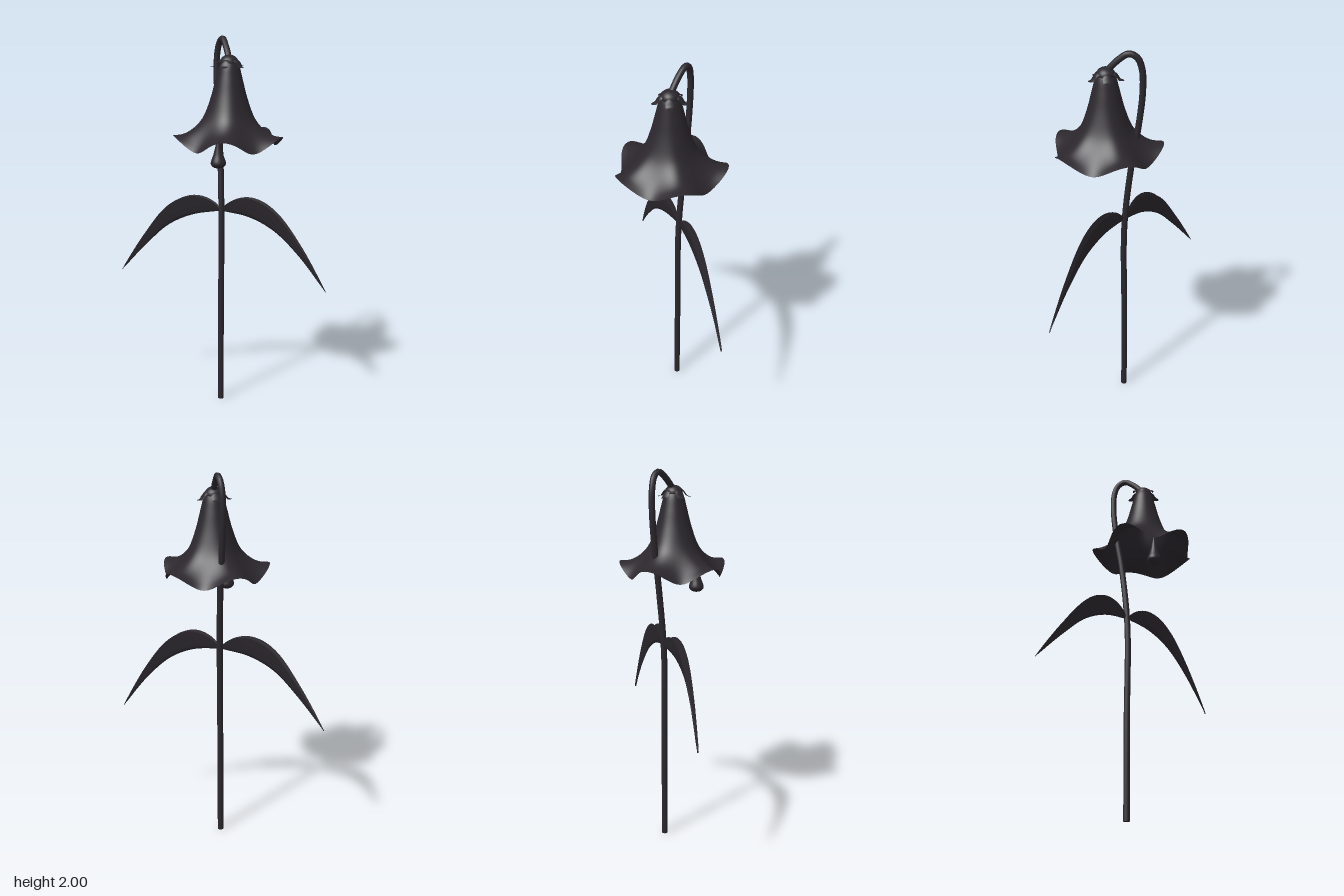
import * as THREE from 'three';

const material = new THREE.MeshStandardMaterial({ color: 0x2b272d, side: THREE.DoubleSide });
const V = (x, y, z) => new THREE.Vector3(x, y, z);
const FLOWER = V(0.07, 0, 0); // axis of the bell

function addMesh(parent, name, geometry) {
  const mesh = new THREE.Mesh(geometry, material);
  mesh.name = name;
  parent.add(mesh);
  return mesh;
}

// Smooth surface from a rule point(u, v), both 0..1
function surface(point, nu, nv) {
  const geometry = new THREE.PlaneGeometry(1, 1, nu, nv);
  const pos = geometry.attributes.position;
  for (let i = 0; i < pos.count; i++) {
    const p = point(pos.getX(i) + 0.5, pos.getY(i) + 0.5);
    pos.setXYZ(i, p.x, p.y, p.z);
  }
  geometry.computeVertexNormals();
  return geometry;
}

// Leaf: a folded blade, its midrib below and its two edges above
function leaf(points) {
  const rib = new THREE.CatmullRomCurve3(points);
  return surface((u, v) => {
    const p = rib.getPoint(u);
    const side = v * 2 - 1;
    const swell = Math.pow(Math.sin(Math.PI * Math.pow(u, 0.72)), 0.85);
    p.y += 0.112 * swell * Math.pow(Math.abs(side), 1.3);
    p.z += side * (0.004 + 0.014 * swell);
    return p;
  }, 40, 8);
}

// Bell: a flared profile whose rim waves out and up in five lobes
function bell() {
  const profile = new THREE.CatmullRomCurve3([
    V(0.03, 1.9, 0), V(0.05, 1.86, 0), V(0.066, 1.8, 0), V(0.092, 1.7, 0),
    V(0.13, 1.6, 0), V(0.172, 1.545, 0), V(0.22, 1.505, 0), V(0.264, 1.483, 0),
  ]);
  const geometry = surface((u, v) => {
    const a = u * Math.PI * 2;
    const p = profile.getPoint(v);
    const wave = Math.cos(5 * a) * Math.pow(v, 4);
    const r = p.x * (1 + 0.085 * wave);
    return V(r * Math.cos(a), p.y + 0.034 * wave, r * Math.sin(a));
  }, 100, 32);
  // match the normals along the seam
  const n = geometry.attributes.normal;
  for (let row = 0; row <= 32; row++) {
    const i = row * 101, j = i + 100;
    const m = V(n.getX(i) + n.getX(j), n.getY(i) + n.getY(j), n.getZ(i) + n.getZ(j)).normalize();
    n.setXYZ(i, m.x, m.y, m.z);
    n.setXYZ(j, m.x, m.y, m.z);
  }
  return geometry;
}

// Sepal: a small pointed, arched tongue with a recurved tip
function sepal() {
  const spine = new THREE.CatmullRomCurve3([
    V(0.02, 1.898, 0), V(0.05, 1.885, 0), V(0.07, 1.858, 0), V(0.092, 1.852, 0),
  ]);
  return surface((u, v) => {
    const p = spine.getPoint(u);
    const side = v * 2 - 1;
    const width = 0.024 * Math.pow(1 - u, 0.6) * (0.7 + u);
    return V(p.x, p.y - 0.012 * side * side * (1 - u), side * width);
  }, 14, 6);
}

export function createModel() {
  const group = new THREE.Group();
  group.name = 'bellFlower';

  // Stem, hooked over at the top
  const stemPath = new THREE.CatmullRomCurve3([
    V(0, 0, -0.062), V(0, 0.5, -0.062), V(0.002, 1.05, -0.062), V(-0.018, 1.4, -0.09),
    V(-0.04, 1.6, -0.112), V(-0.055, 1.8, -0.126), V(-0.05, 1.91, -0.124),
    V(-0.031, 1.966, -0.111), V(-0.002, 1.984, -0.085), V(0.028, 1.955, -0.05),
    V(0.054, 1.915, -0.02), V(0.07, 1.88, 0),
  ]);
  addMesh(group, 'stem', new THREE.TubeGeometry(stemPath, 120, 0.016, 12));
  const base = addMesh(group, 'stemBase', new THREE.CircleGeometry(0.016, 12));
  base.rotation.x = Math.PI / 2;
  base.position.set(0, 0, -0.062);

  // Pair of drooping leaves
  addMesh(group, 'leftLeaf', leaf([
    V(0.005, 1.09, -0.062), V(0.15, 1.065, -0.085), V(0.28, 1.0, -0.107),
    V(0.41, 0.875, -0.132), V(0.56, 0.68, -0.162),
  ]));
  addMesh(group, 'rightLeaf', leaf([
    V(-0.005, 1.09, -0.062), V(-0.15, 1.063, -0.024), V(-0.28, 1.0, 0.001),
    V(-0.41, 0.88, 0.017), V(-0.563, 0.715, 0.026),
  ]));

  // Flower: bell, cap, ring of sepals and clapper-like pistil
  const flower = new THREE.Group();
  flower.name = 'flower';
  flower.position.copy(FLOWER);
  group.add(flower);
  addMesh(flower, 'bell', bell());

  const cap = addMesh(flower, 'cap', new THREE.SphereGeometry(0.046, 24, 16));
  cap.scale.y = 0.8;
  cap.position.y = 1.875;

  const sepalGeometry = sepal();
  for (let i = 0; i < 5; i++) {
    const s = addMesh(flower, 'sepal', sepalGeometry);
    s.rotation.y = -THREE.MathUtils.degToRad(14 + 72 * i);
  }

  const pistilProfile = new THREE.SplineCurve([
    [0, 1.36], [0.022, 1.363], [0.037, 1.378], [0.037, 1.395], [0.026, 1.425],
    [0.017, 1.46], [0.009, 1.5], [0, 1.53],
  ].map(([x, y]) => new THREE.Vector2(x, y))).getPoints(28);
  pistilProfile.forEach((p) => { p.x = Math.max(p.x, 0); });
  const pistil = addMesh(flower, 'pistil', new THREE.LatheGeometry(pistilProfile, 24));
  pistil.position.set(-0.006, 0, 0.118);

  return group;
}
